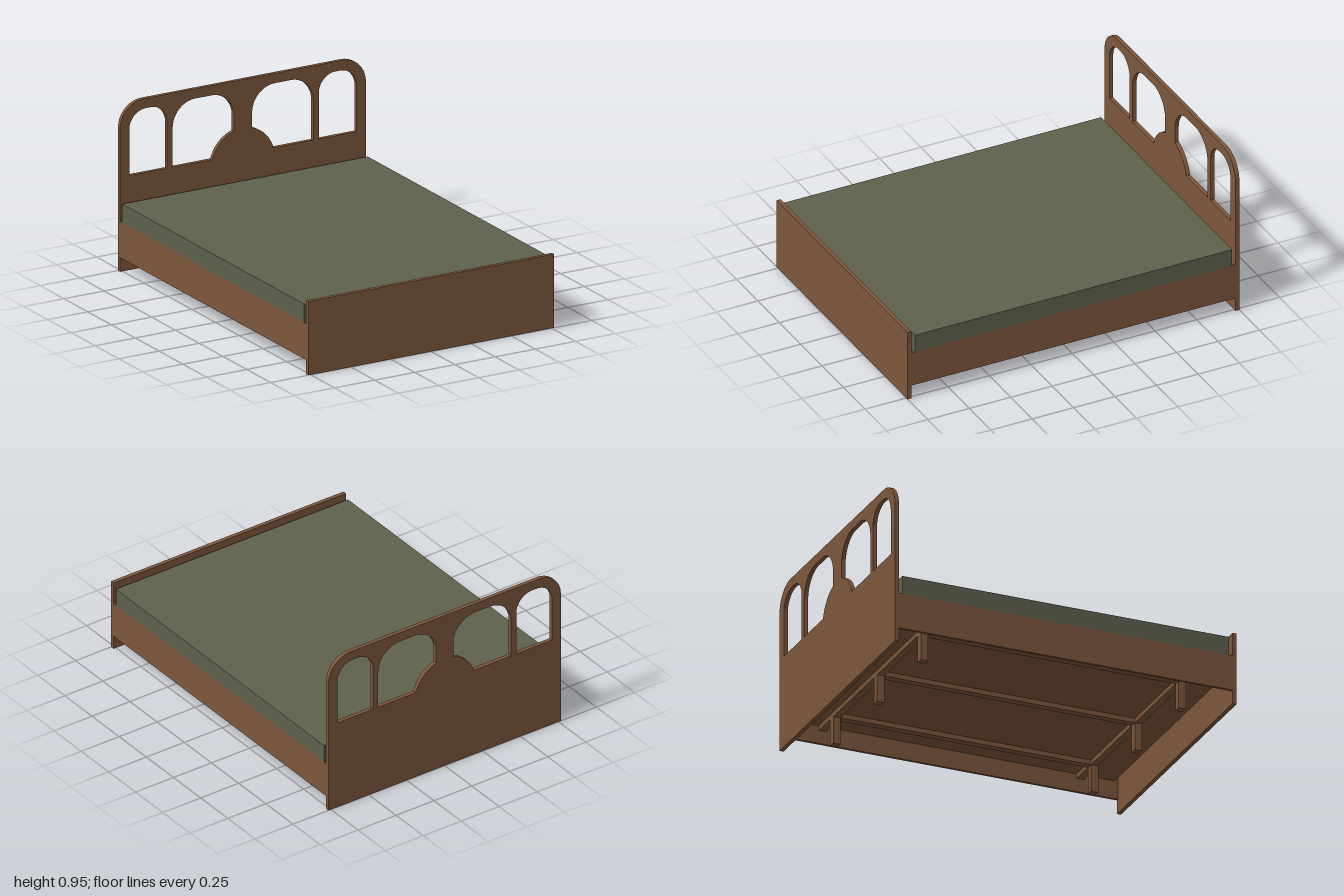
import * as THREE from 'three';

const wood = new THREE.MeshStandardMaterial({ color: 0x7d573c });
wood.name = 'brown wood';
const fabric = new THREE.MeshStandardMaterial({ color: 0x5e614d });
fabric.name = 'olive fabric';

const W = 0.765;      // half width
const T = 0.023;      // board thickness

// Box given by its lower and upper corners
function box(name, material, [x0, y0, z0], [x1, y1, z1]) {
  const mesh = new THREE.Mesh(new THREE.BoxGeometry(x1 - x0, y1 - y0, z1 - z0), material);
  mesh.position.set((x0 + x1) / 2, (y0 + y1) / 2, (z0 + z1) / 2);
  mesh.name = name;
  return mesh;
}

// Continues a path up and over a rectangle with two rounded top corners
function archOver(path, x0, x1, yBase, yTop, r) {
  path.lineTo(x1, yBase);
  path.lineTo(x1, yTop - r);
  path.absarc(x1 - r, yTop - r, r, 0, Math.PI / 2, false);
  path.absarc(x0 + r, yTop - r, r, Math.PI / 2, Math.PI, false);
  return path;
}

function headboard() {
  const shape = new THREE.Shape();
  shape.moveTo(-W, 0);
  archOver(shape, -W, W, 0, 0.955, 0.145).closePath();

  // Four openings; the inner pair is cut into by a round centre crest
  const base = 0.535, top = 0.9, cy = 0.483, r = 0.197;
  const a0 = Math.acos(0.057 / r), a1 = Math.asin((base - cy) / r);
  const outer = new THREE.Path();
  outer.moveTo(0.472, base);
  archOver(outer, 0.472, 0.708, base, top, 0.105).closePath();
  const inner = new THREE.Path();
  inner.absarc(0, cy, r, a0, a1, true);
  archOver(inner, 0.057, 0.438, base, top, 0.142).closePath();
  for (const hole of [outer, inner]) {
    const points = hole.getPoints(16);
    shape.holes.push(new THREE.Path(points));
    shape.holes.push(new THREE.Path(points.map(p => new THREE.Vector2(-p.x, p.y))));
  }
  const geometry = new THREE.ExtrudeGeometry(shape, { depth: T, bevelEnabled: false, curveSegments: 16 });
  const mesh = new THREE.Mesh(geometry, wood);
  mesh.position.z = -1;
  mesh.name = 'headboard';
  return mesh;
}

export function createModel() {
  const bed = new THREE.Group();
  bed.name = 'bed';
  bed.add(headboard());
  bed.add(box('footboard', wood, [-W, 0, 1 - T], [W, 0.418, 1]));
  bed.add(box('mattress', fabric, [-W, 0.285, -0.957], [W, 0.39, 0.957]));

  // Side rails and the base between them
  const inside = W - 0.015, baseY = 0.185, beamY = 0.158;
  bed.add(box('rightRail', wood, [-W, 0.08, T - 1], [-inside, 0.285, 1 - T]));
  bed.add(box('leftRail', wood, [inside, 0.08, T - 1], [W, 0.285, 1 - T]));
  bed.add(box('base', wood, [-inside, baseY, -0.957], [inside, 0.285, 0.957]));

  // Under-frame: cross beams, long beams and six legs
  const h = 0.021, legZ = 0.755;
  for (const z of [-legZ, legZ]) {
    bed.add(box('crossBeam', wood, [-inside, beamY, z - h], [inside, baseY, z + h]));
  }
  for (const x of [-0.58, 0, 0.58]) {
    bed.add(box('longBeam', wood, [x - h, beamY, h - legZ], [x + h, baseY, legZ - h]));
    for (const z of [-legZ, legZ]) {
      bed.add(box('leg', wood, [x - h, 0, z - h], [x + h, beamY, z + h]));
    }
  }
  return bed;
}
